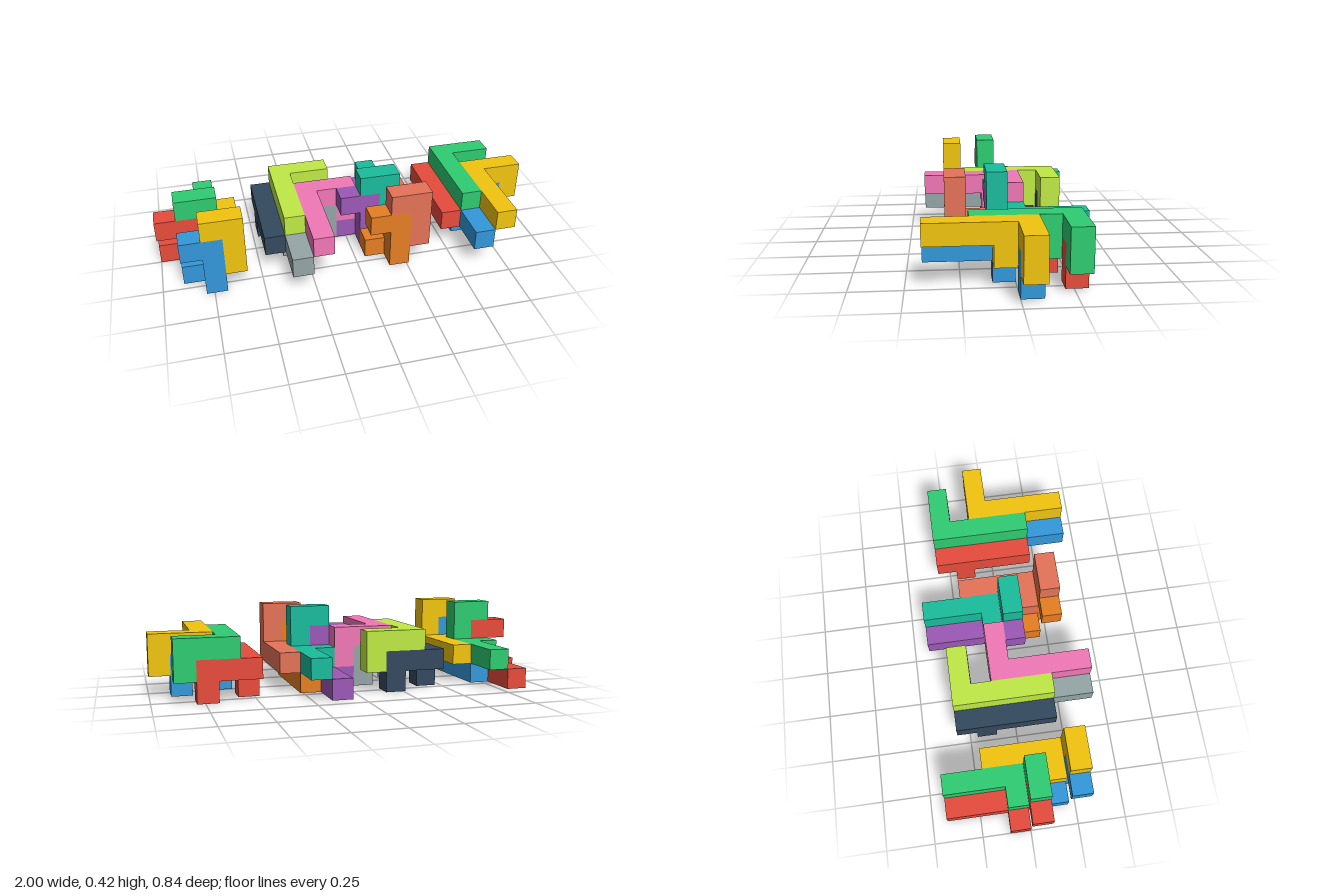
import * as THREE from 'three';

const U = 2 / 19; // edge of one cube cell

// One puzzle piece: a flat L (5 by 3 cells) with two one-cell legs below it.
// The corner cell is centred on the origin.
function makePiece(name, color) {
  const piece = new THREE.Group();
  piece.name = name;
  const material = new THREE.MeshStandardMaterial({ color, flatShading: true });
  const add = (part, geometry) => {
    const mesh = new THREE.Mesh(geometry, material);
    mesh.name = part;
    piece.add(mesh);
    return mesh;
  };

  const outline = [[-0.5, -0.5], [2.5, -0.5], [2.5, 0.5], [0.5, 0.5], [0.5, 4.5], [-0.5, 4.5]];
  const shape = new THREE.Shape(outline.map(([x, z]) => new THREE.Vector2(x * U, z * U)));
  const bar = new THREE.ExtrudeGeometry(shape, { depth: U, bevelEnabled: false });
  bar.rotateX(Math.PI / 2).translate(0, U / 2, 0);
  add('lShapedBar', bar);

  add('armLeg', new THREE.BoxGeometry(U, U, U)).position.set(2 * U, -U, 0);
  add('barLeg', new THREE.BoxGeometry(U, U, U)).position.set(0, -U, U);
  return piece;
}

// Upright pieces turn the short arm up and the long bar to the back.
const upright = new THREE.Matrix4().makeBasis(
  new THREE.Vector3(0, 1, 0), new THREE.Vector3(1, 0, 0), new THREE.Vector3(0, 0, -1));
const flat = new THREE.Matrix4();

// Corner cells of the four pieces: front upper, front lower, rear upper, rear lower.
const uprightCorners = [[3, 1, 6], [2, 0, 6], [2, 1, 4], [1, 0, 4]];
const flatCorners = [[2, 2, 3], [1, 1, 3], [1, 2, 1], [0, 1, 1]];
const pieceNames = ['frontUpperPiece', 'frontLowerPiece', 'rearUpperPiece', 'rearLowerPiece'];

const clusters = [
  { name: 'farRightCluster', x: 0, turn: upright, corners: uprightCorners,
    colors: [0xf1c40f, 0x3498db, 0x2ecc71, 0xe74c3c] },
  { name: 'middleRightCluster', x: 5, turn: flat, corners: flatCorners,
    colors: [0xf178b6, 0x95a5a6, 0xbfea45, 0x34495e] },
  { name: 'middleLeftCluster', x: 9, turn: upright, corners: uprightCorners,
    colors: [0xe57358, 0xe67e22, 0x1abc9c, 0x9b59b6] },
  { name: 'farLeftCluster', x: 14, turn: flat, corners: flatCorners,
    colors: [0xf1c40f, 0x3498db, 0x2ecc71, 0xe74c3c] },
];

export function createModel() {
  const model = new THREE.Group();
  model.name = 'interlockingPuzzle';
  for (const { name, x, turn, corners, colors } of clusters) {
    const cluster = new THREE.Group();
    cluster.name = name;
    cluster.position.set((x - 9) * U, U / 2, -3.5 * U);
    corners.forEach((cell, i) => {
      const piece = makePiece(pieceNames[i], colors[i]);
      piece.quaternion.setFromRotationMatrix(turn);
      piece.position.set(...cell).multiplyScalar(U);
      cluster.add(piece);
    });
    model.add(cluster);
  }
  return model;
}
